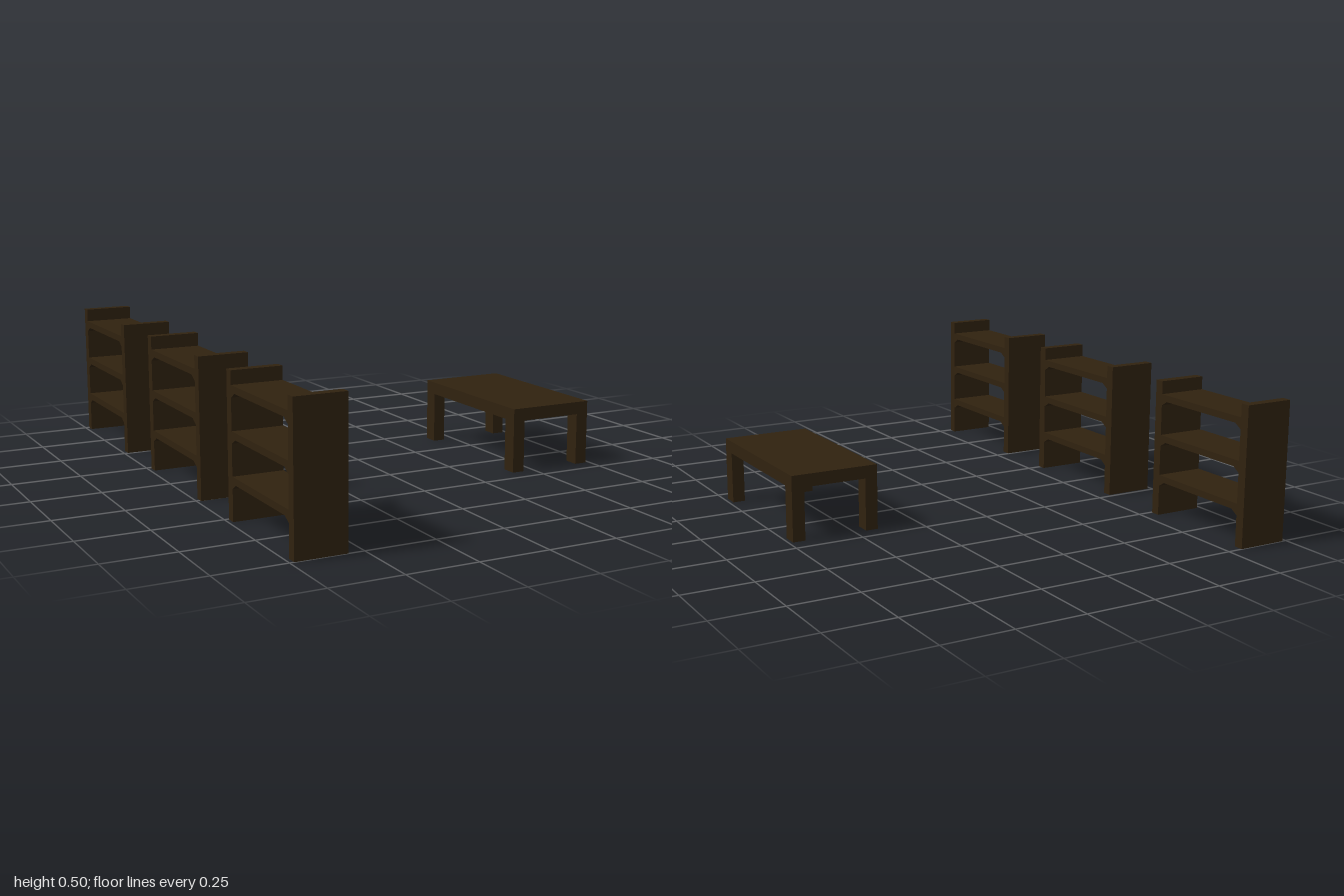
import * as THREE from 'three';

const wood = new THREE.MeshStandardMaterial({ color: 0x30220f });
wood.name = 'dark brown wood';

// Box given by its minimum and maximum corners
function block(name, min, max) {
  const size = max.map((v, i) => v - min[i]);
  const mesh = new THREE.Mesh(new THREE.BoxGeometry(...size), wood);
  mesh.position.set(...max.map((v, i) => (v + min[i]) / 2));
  mesh.name = name;
  return mesh;
}

const DEPTH = 0.18, HALF = 0.248, SIDE = 0.035, BOARD = 0.024;

// Shelf board with a small sloped brace under each end, extruded across the depth
function shelf(top) {
  const e = HALF - SIDE, under = top - BOARD;
  const shape = new THREE.Shape([
    [-e, top], [-e, under - 0.017], [-e + 0.028, under],
    [e - 0.028, under], [e, under - 0.017], [e, top],
  ].map(([a, b]) => new THREE.Vector2(a, b)));
  const geo = new THREE.ExtrudeGeometry(shape, { depth: DEPTH, bevelEnabled: false });
  geo.translate(0, 0, -DEPTH / 2);
  geo.rotateY(Math.PI / 2);
  const mesh = new THREE.Mesh(geo, wood);
  mesh.name = 'shelfBoard';
  return mesh;
}

// Open shelf unit: two side panels and three boards
function shelfUnit() {
  const g = new THREE.Group();
  g.name = 'shelfUnit';
  const x = DEPTH / 2;
  g.add(block('sidePanel', [-x, 0, HALF - SIDE], [x, 0.497, HALF]));
  g.add(block('sidePanel', [-x, 0, -HALF], [x, 0.497, SIDE - HALF]));
  for (const top of [0.151, 0.3, 0.45]) g.add(shelf(top));
  return g;
}

// Low table: slab top and four flush corner legs
function table() {
  const g = new THREE.Group();
  g.name = 'table';
  const x = 0.162, z = 0.31, under = 0.19, lx = 0.046, lz = 0.056;
  g.add(block('tableTop', [-x, under, -z], [x, 0.236, z]));
  for (const sx of [-1, 1]) for (const sz of [-1, 1]) {
    const cx = sx * (x - lx / 2), cz = sz * (z - lz / 2);
    g.add(block('tableLeg', [cx - lx / 2, 0, cz - lz / 2], [cx + lx / 2, under, cz + lz / 2]));
  }
  return g;
}

export function createModel() {
  const model = new THREE.Group();
  model.name = 'shelvesAndTable';
  for (const z of [-0.752, 0.012, 0.752]) {
    const unit = shelfUnit();
    unit.position.set(-0.645, 0, z);
    model.add(unit);
  }
  const t = table();
  t.position.set(0.573, 0, 0.123);
  model.add(t);
  return model;
}
